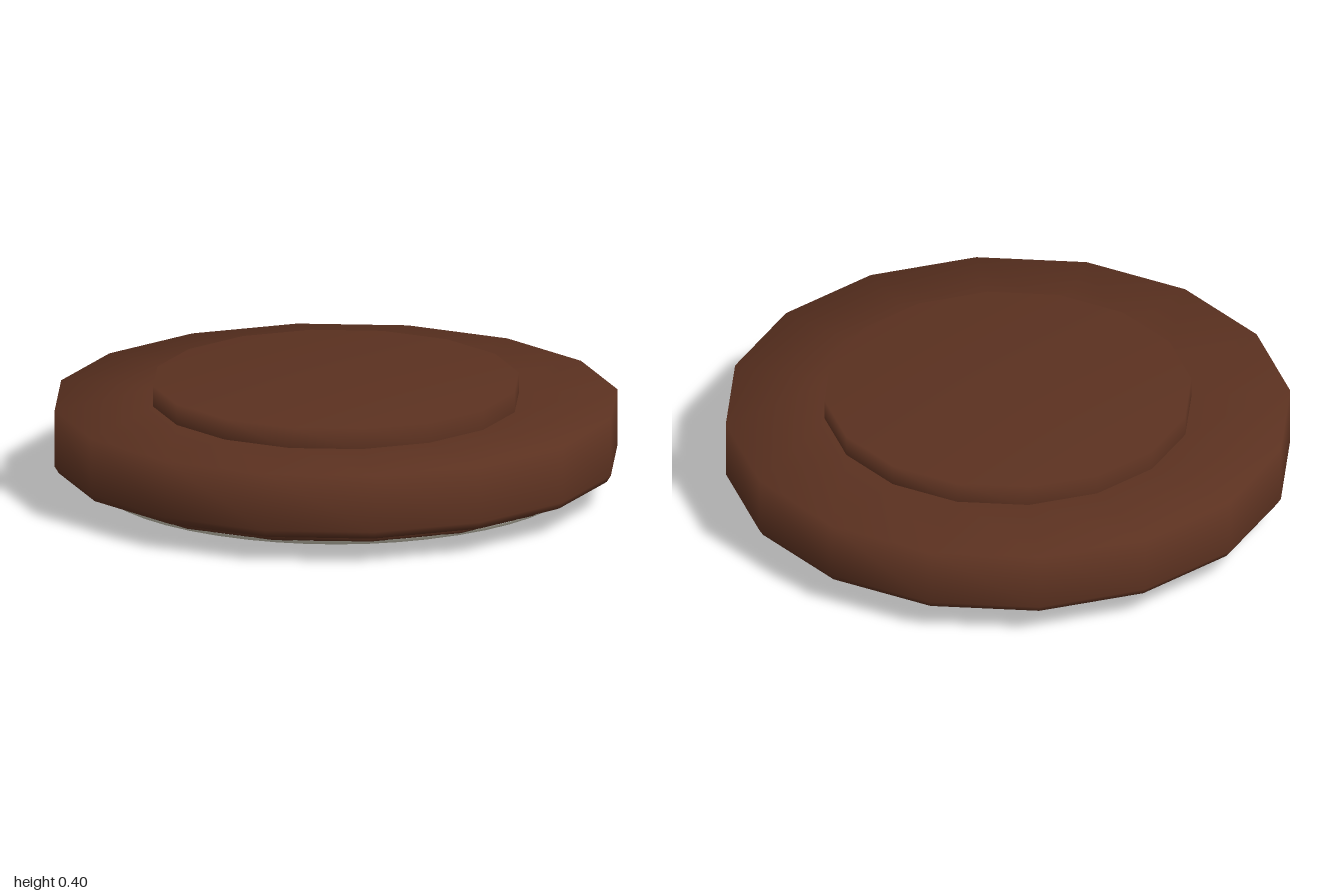
import * as THREE from 'three';

const brown = new THREE.MeshStandardMaterial({ color: 0x5b3120 });
brown.name = 'dark brown';
const grey = new THREE.MeshStandardMaterial({ color: 0xcdc9b7 });
grey.name = 'pale warm grey';

// Revolve a profile of [radius, height] points, listed from the bottom up.
function turned(name, profile, sides, material) {
  const points = profile.map(([r, y]) => new THREE.Vector2(r, y));
  const mesh = new THREE.Mesh(new THREE.LatheGeometry(points, sides), material);
  mesh.name = name;
  return mesh;
}

export function createModel() {
  const model = new THREE.Group();
  model.name = 'roundButton';

  // Wide sixteen-sided body with a rounded lower edge and a soft-shaded top
  model.add(turned('body', [
    [0.86, 0.086], [0.96, 0.086], [0.985, 0.096], [1, 0.12], [1, 0.327], [0.64, 0.327],
  ], 16, brown));

  // Raised disc on top
  model.add(turned('raisedTop', [
    [0.65, 0.32], [0.65, 0.402], [0, 0.402],
  ], 16, brown));

  // Narrow collar under the body that holds the pad
  model.add(turned('collar', [
    [0.84, 0.046], [0.87, 0.05], [0.885, 0.062], [0.885, 0.09],
  ], 16, brown));

  // Shallow domed pad on the underside
  model.add(turned('basePad', [
    [0, 0], [0.53, 0], [0.72, 0.016], [0.82, 0.028], [0.855, 0.039], [0.863, 0.052],
  ], 48, grey));

  return model;
}
